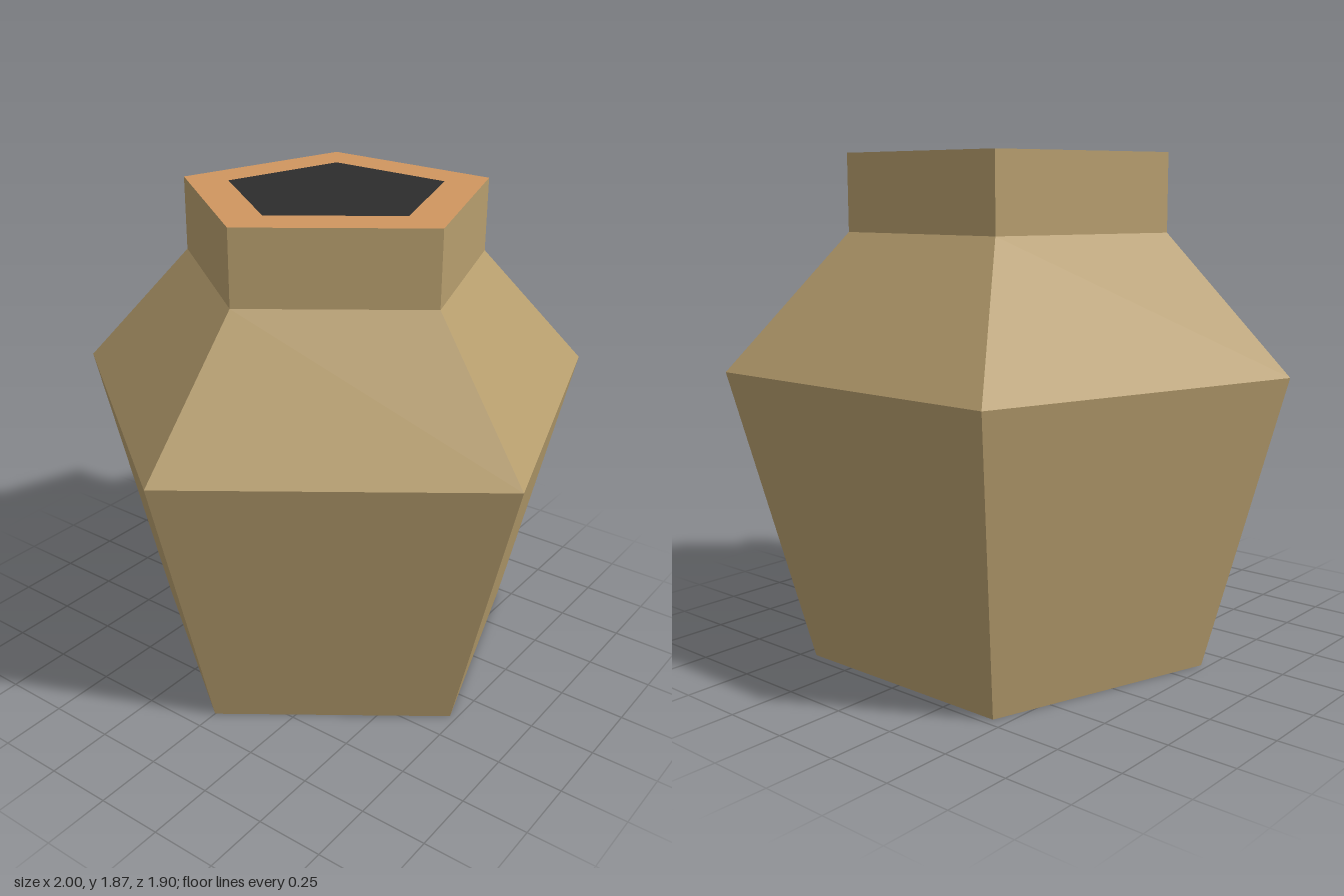
import * as THREE from 'three';

const SIDES = 5;
const CENTRE_Z = -0.1; // pentagon is offset so its bounds are centred
const TOP = 1.87;
const NECK_R = 0.6;
const HOLE_R = 0.42;

const flat = (name, color) => {
  const m = new THREE.MeshStandardMaterial({ color, flatShading: true });
  m.name = name;
  return m;
};

// Five-sided surface turned from [radius, height] pairs, one corner facing +z
function turned(name, profile, material) {
  const points = profile.map(([r, y]) => new THREE.Vector2(r, y));
  const mesh = new THREE.Mesh(new THREE.LatheGeometry(points, SIDES), material);
  mesh.name = name;
  mesh.position.z = CENTRE_Z;
  return mesh;
}

export function createModel() {
  const clay = flat('clay', 0xb79e6e);
  const rimClay = flat('rim clay', 0xd0965f);
  const dark = flat('dark opening', 0x2d2d2d);

  const pot = new THREE.Group();
  pot.name = 'pot';
  pot.add(
    // Base, tapered belly, sloping shoulder and straight neck
    turned('base', [[0, 0], [0.762, 0]], clay),
    turned('belly', [[0.762, 0], [1.0515, 1.095]], clay),
    turned('shoulder', [[1.0515, 1.095], [NECK_R, 1.59]], clay),
    turned('neck', [[NECK_R, 1.59], [NECK_R, TOP]], clay),
    // Flat lip around the painted mouth
    turned('rim', [[NECK_R, TOP], [HOLE_R, TOP]], rimClay),
    turned('mouth', [[HOLE_R, TOP], [0, TOP]], dark),
  );
  return pot;
}
